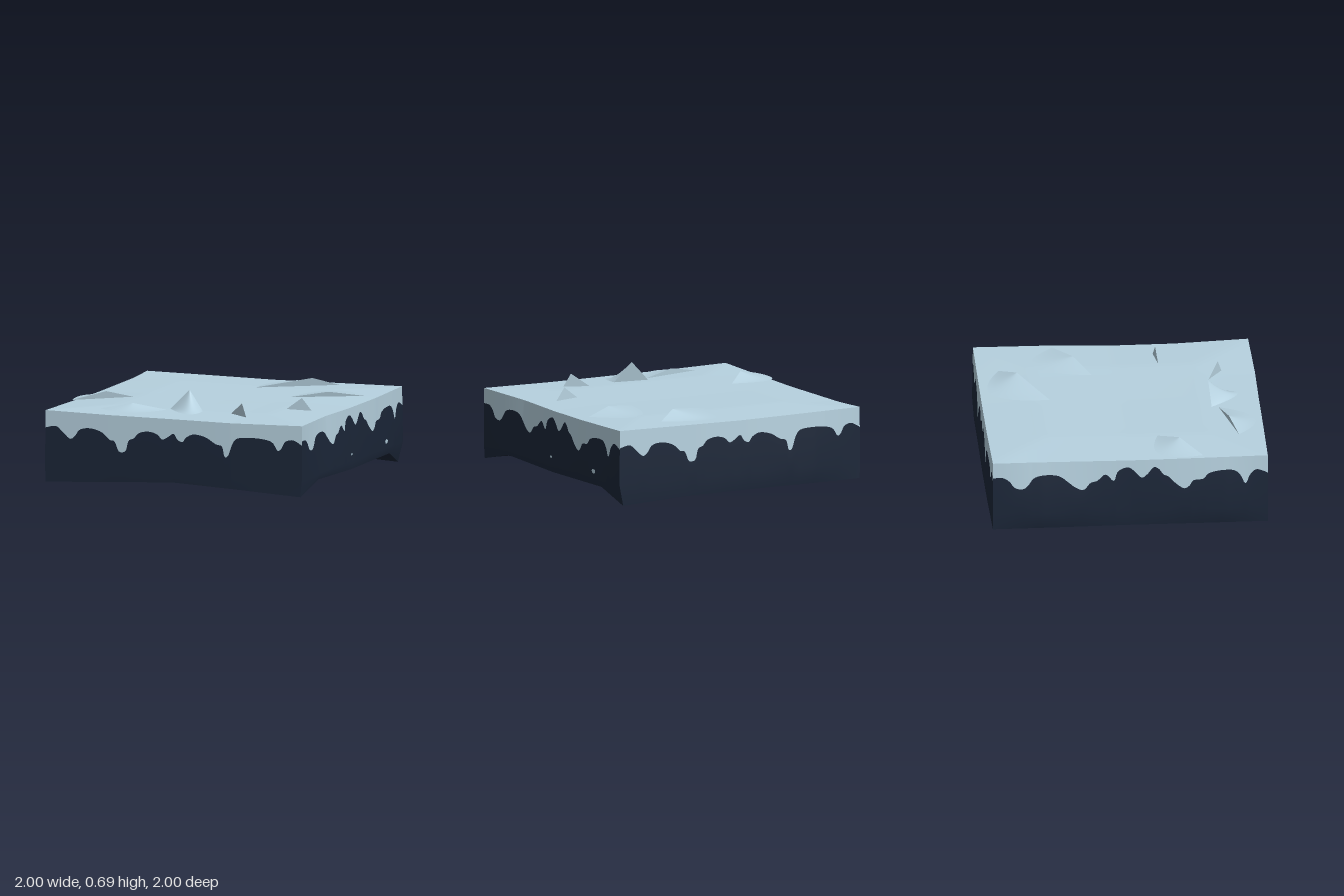
import * as THREE from 'three';

const V = (p) => new THREE.Vector3(...p);

// Point on a side's outline, f in 0..1 measured straight along the axis of that side
function along(pts, f) {
  const a = pts[0], b = pts[pts.length - 1];
  const axis = Math.abs(b[0] - a[0]) > Math.abs(b[2] - a[2]) ? 0 : 2;
  const t = (p) => (p[axis] - a[axis]) / (b[axis] - a[axis]);
  let i = 0;
  while (i < pts.length - 2 && t(pts[i + 1]) < f) i++;
  return V(pts[i]).lerp(V(pts[i + 1]), (f - t(pts[i])) / (t(pts[i + 1]) - t(pts[i])));
}

// Grid surface; u runs right and v runs up as seen from outside
function sheet(nu, nv, fn) {
  const pos = [], idx = [];
  for (let j = 0; j <= nv; j++)
    for (let i = 0; i <= nu; i++) pos.push(...fn(i / nu, j / nv).toArray());
  for (let j = 0; j < nv; j++)
    for (let i = 0; i < nu; i++) {
      const a = j * (nu + 1) + i, b = a + 1, c = a + nu + 1, d = c + 1;
      idx.push(a, b, d, a, d, c);
    }
  const g = new THREE.BufferGeometry();
  g.setAttribute('position', new THREE.Float32BufferAttribute(pos, 3));
  g.setIndex(idx);
  g.computeVertexNormals();
  return g;
}

function triangle(...corners) {
  const g = new THREE.BufferGeometry();
  g.setAttribute('position', new THREE.Float32BufferAttribute(corners.flat(), 3));
  g.computeVertexNormals();
  return g;
}

// Each side: top, middle and bottom outline, left to right seen from outside
const sides = {
  front: {
    top: [[-.97, .545, .98], [-.48, .537, .985], [0, .535, .987], [.45, .532, .992], [.992, .54, .983]],
    mid: [[-.975, .15, .98], [-.48, .15, .985], [0, .15, .988], [.45, .15, .997], [.992, .15, .988]],
    low: [[-.97, .03, .98], [-.48, .055, .98], [0, .08, .985], [.45, .06, .995], [.982, .03, .992]],
  },
  right: {
    top: [[.992, .54, .983], [.96, .535, .45], [.97, .53, 0], [.988, .537, -.45], [.98, .545, -.98]],
    mid: [[.992, .15, .988], [.992, .15, .45], [.987, .15, 0], [.998, .15, -.65], [.985, .15, -.985]],
    low: [[.982, .03, .992], [.985, .11, .65], [.98, .09, 0], [.985, .1, -.72], [.95, 0, -.975]],
  },
  back: {
    top: [[.98, .545, -.98], [.48, .54, -.983], [0, .535, -.985], [-.48, .54, -.985], [-.97, .545, -.98]],
    mid: [[.985, .15, -.985], [.48, .15, -.988], [0, .15, -.997], [-.6, .15, -1], [-.975, .15, -.98]],
    low: [[.95, 0, -.975], [.48, .025, -.98], [0, .03, -.985], [-.48, .03, -.985], [-.97, .03, -.98]],
  },
  left: {
    top: [[-.97, .545, -.98], [-.955, .538, -.7], [-.96, .533, 0], [-.965, .538, .5], [-.97, .545, .98]],
    mid: [[-.975, .15, -.98], [-1, .15, -.63], [-.975, .15, 0], [-1, .15, .68], [-.975, .15, .98]],
    low: [[-.97, .03, -.98], [-.97, .03, -.5], [-.965, .03, 0], [-.97, .03, .5], [-.97, .03, .98]],
  },
};

// Lower edge of the snow, as [across, height]
const dripA = [[-1, .42], [-.92, .435], [-.87, .4], [-.81, .35], [-.77, .37], [-.73, .42], [-.65, .433],
  [-.56, .41], [-.5, .36], [-.46, .35], [-.43, .285], [-.4, .275], [-.37, .29], [-.35, .36], [-.31, .38],
  [-.27, .42], [-.2, .435], [-.13, .42], [-.09, .385], [-.05, .4], [0, .43], [.03, .39], [.07, .375],
  [.1, .41], [.16, .435], [.25, .42], [.33, .375], [.38, .36], [.4, .29], [.43, .3], [.46, .38], [.5, .425],
  [.6, .435], [.7, .43], [.77, .41], [.81, .355], [.84, .37], [.87, .42], [.93, .435], [1, .4]];
const dripB = [[-1, .43], [-.93, .43], [-.88, .4], [-.84, .35], [-.78, .34], [-.74, .37], [-.7, .42],
  [-.62, .44], [-.52, .43], [-.45, .38], [-.4, .34], [-.34, .32], [-.29, .37], [-.24, .385], [-.18, .43],
  [-.12, .38], [-.09, .45], [-.02, .48], [.03, .45], [.08, .4], [.12, .42], [.17, .475], [.21, .46],
  [.24, .42], [.28, .4], [.33, .35], [.39, .31], [.43, .33], [.46, .37], [.53, .38], [.57, .42], [.65, .44],
  [.75, .44], [.8, .4], [.83, .34], [.85, .35], [.87, .4], [.92, .44], [1, .41]];

// Point on a wall at a given height above its middle outline
function wallAt(s, f, y) {
  const t = along(s.top, f), m = along(s.mid, f);
  return m.lerp(t, (y - m.y) / (t.y - m.y));
}

// Surface stretched between the four outlines; u left to right, w front to back
function span(level, u, w) {
  const e = (name, f) => along(sides[name][level], f);
  const F = e('front', u), B = e('back', 1 - u), L = e('left', 1 - w), R = e('right', w);
  const p = F.multiplyScalar(1 - w).addScaledVector(B, w).addScaledVector(L, 1 - u).addScaledVector(R, u);
  return p.addScaledVector(e('front', 0), -(1 - u) * (1 - w)).addScaledVector(e('front', 1), -u * (1 - w))
    .addScaledVector(e('back', 1), -(1 - u) * w).addScaledVector(e('back', 0), -u * w);
}

// 0 on the rim, 1 inside
const inside = (u, w, k) => Math.min(1, k * Math.min(u, 1 - u, w, 1 - w));

// Half peaks with one soft slope and one sheer face: left, right and foot as [x, z], then the apex
const peaks = [
  ['snowPeak', [-.15, .64], [.11, .67], [.06, .84], [-.01, .695, .625]],
  ['backDrift', [.56, -.83], [.05, -.5], [.16, -.9], [.4, .61, -.71]],
  ['leftDrift', [-.6, .22], [-.95, .52], [-.92, .22], [-.75, .605, .365]],
  ['rightDrift', [.92, -.42], [.44, -.17], [.6, -.58], [.69, .588, -.29]],
  ['frontDrift', [-.62, .8], [-.16, .69], [-.36, .93], [-.4, .595, .745]],
];

export function createModel() {
  const model = new THREE.Group();
  const snow = new THREE.MeshStandardMaterial({ color: 0xb6d1df, side: THREE.DoubleSide });
  const rock = new THREE.MeshStandardMaterial({ color: 0x1b2638 });
  snow.name = 'snow';
  rock.name = 'rock';
  const add = (name, geo, mat) => {
    const m = new THREE.Mesh(geo, mat);
    m.name = name;
    model.add(m);
    return m;
  };

  // Walls: snow above the drip line, rock below
  for (const [name, s] of Object.entries(sides)) {
    const drip = name === 'front' || name === 'back' ? dripA : dripB;
    const line = new THREE.SplineCurve(drip.map((p) => new THREE.Vector2(...p))).getPoints(160);
    const edge = (u) => {
      const p = line[Math.round(u * 160)];
      const f = (p.x + 1) / 2;
      return [f, wallAt(s, f, p.y)];
    };
    add(name + 'SnowDrips', sheet(160, 1, (u, v) => {
      const [f, p] = edge(u);
      return v ? along(s.top, f) : p;
    }), snow);
    add(name + 'RockWall', sheet(160, 2, (u, v) => {
      const [f, p] = edge(u);
      return v === 1 ? p : along(v ? s.mid : s.low, f);
    }), rock);
  }

  // Snow cover rising gently inward
  add('snowCover', sheet(40, 40, (u, w) => {
    const p = span('top', u, w);
    p.y += .019 * inside(u, w, 5);
    return p;
  }), snow);

  // Rock underside, chamfered from its uneven rim to a nearly flat base
  add('rockUnderside', sheet(32, 32, (u, v) => {
    const p = span('low', u, 1 - v);
    p.y = THREE.MathUtils.lerp(p.y, .042, inside(u, v, 5));
    return p;
  }), rock);

  // Peak and wind-blown drifts
  const base = .552;
  for (const [name, l, r, foot, apex] of peaks) {
    const L = new THREE.Vector2(...l), R = new THREE.Vector2(...r), F = new THREE.Vector2(...foot);
    const mid = F.multiplyScalar(2).addScaledVector(L.clone().add(R), -.5);
    const rim = new THREE.QuadraticBezierCurve(L, mid, R);
    add(name, sheet(12, 8, (u, v) => {
      const q = rim.getPoint(u);
      const p = V([q.x, base, q.y]).lerp(V(apex), v);
      p.y = base + (apex[1] - base) * v ** (1 + .7 * Math.sin(Math.PI * u));
      return p;
    }), snow);
    add(name + 'Face', triangle([r[0], base, r[1]], [l[0], base, l[1]], apex), snow);
  }

  // Two thin upright shards
  add('frontShard', triangle([.31, .54, .645], [.475, .54, .755], [.43, .635, .725]), snow);
  add('sideShard', triangle([.6, .54, .315], [.79, .54, .288], [.72, .63, .3]), snow);

  // Snow flecks on the right wall
  for (const [z, w, h] of [[.01, .014, .01], [-.63, .027, .016]]) {
    const fleck = add('snowFleck', new THREE.CircleGeometry(1, 8), snow);
    fleck.scale.set(w, h, 1);
    fleck.rotation.y = Math.PI / 2;
    fleck.position.copy(wallAt(sides.right, (.985 - z) / 1.97, .2));
    fleck.position.x += .004;
  }
  return model;
}
